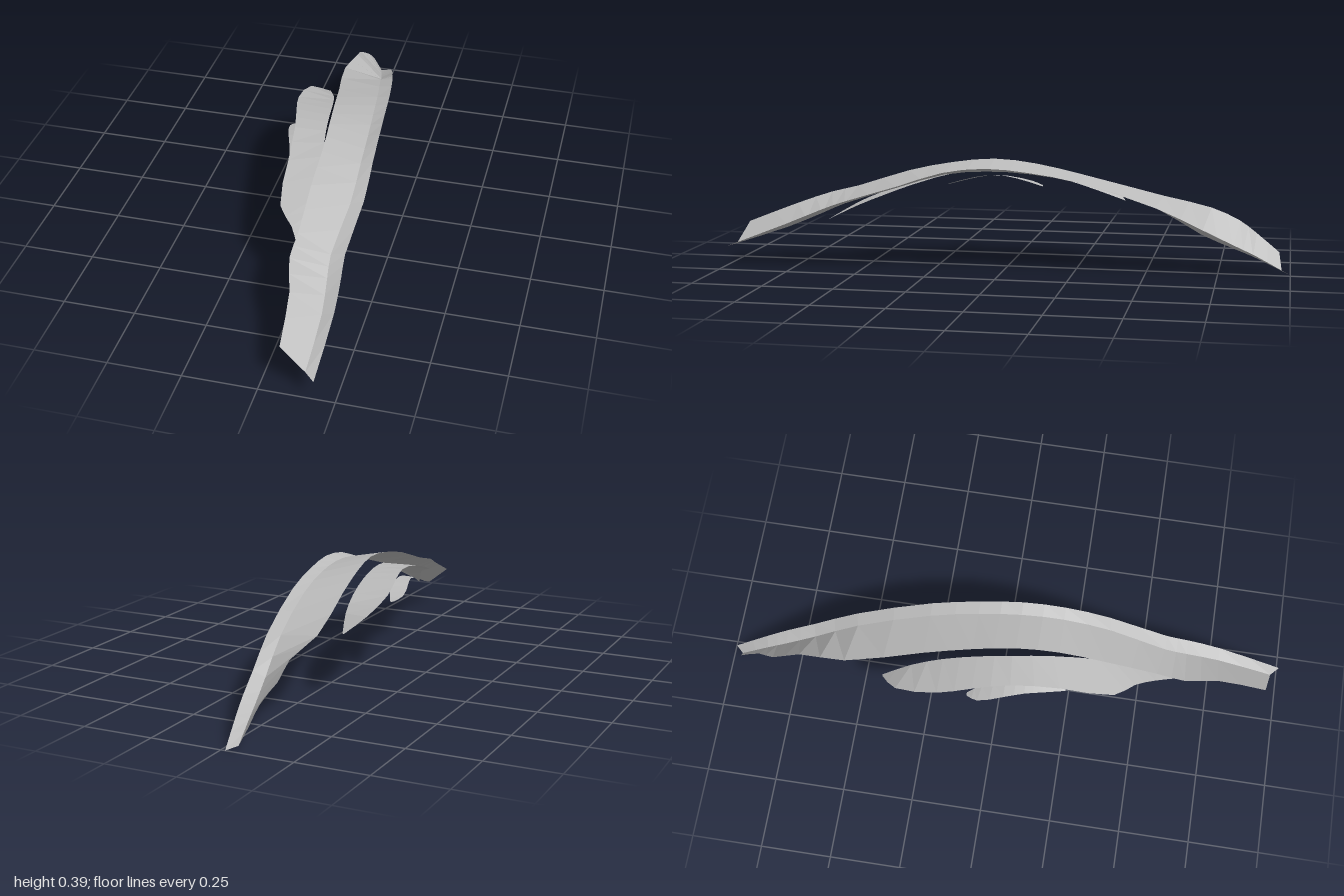
import * as THREE from 'three';

const grey = new THREE.MeshStandardMaterial({ color: 0xbbbbbb, flatShading: true, side: THREE.DoubleSide });
grey.name = 'grey';

// Thin sheet lofted through lengthwise edge lines, listed from left to right across the sheet
function sheet(name, lines, steps) {
  const curves = lines.map(l => new THREE.CatmullRomCurve3(l.map(p => new THREE.Vector3(...p))));
  const rows = (lines[0].length - 1) * steps;
  const cols = lines.length;
  const pos = [], index = [];
  for (let i = 0; i <= rows; i++) {
    for (const c of curves) pos.push(...c.getPoint(i / rows).toArray());
  }
  for (let i = 0; i < rows; i++) {
    for (let j = 0; j < cols - 1; j++) {
      const a = i * cols + j, b = a + 1, c = a + cols, d = c + 1;
      index.push(a, c, b, b, c, d);
    }
  }
  const g = new THREE.BufferGeometry();
  g.setAttribute('position', new THREE.Float32BufferAttribute(pos, 3));
  g.setIndex(index);
  g.computeVertexNormals();
  const mesh = new THREE.Mesh(g, grey);
  mesh.name = name;
  return mesh;
}

export function createModel() {
  const group = new THREE.Group();
  group.name = 'archedStrips';

  // Long strip: high inner edge, valley crease and raised outer flange
  group.add(sheet('longStrip', [
    [[-0.075, 0.07, -0.96], [-0.08, 0.135, -0.88], [-0.1, 0.175, -0.82], [-0.09, 0.22, -0.72],
      [-0.1, 0.256, -0.55], [-0.055, 0.33, -0.27], [-0.03, 0.37, -0.1], [-0.01, 0.387, 0.05],
      [0.003, 0.373, 0.2], [0.006, 0.34, 0.36], [0.012, 0.28, 0.55], [0.01, 0.255, 0.65],
      [0.043, 0.215, 0.77], [0.06, 0.145, 0.95]],
    [[-0.045, 0.01, -0.97], [-0.025, 0.06, -0.87], [-0.01, 0.09, -0.8], [0.015, 0.14, -0.69],
      [0.045, 0.235, -0.53], [0.09, 0.32, -0.27], [0.112, 0.35, -0.1], [0.128, 0.358, 0.05],
      [0.138, 0.345, 0.2], [0.143, 0.295, 0.37], [0.127, 0.23, 0.57], [0.135, 0.195, 0.65],
      [0.148, 0.145, 0.77], [0.147, 0.077, 0.97]],
    [[-0.015, 0, -1], [0.015, 0.07, -0.88], [0.035, 0.11, -0.8], [0.055, 0.16, -0.7],
      [0.09, 0.238, -0.54], [0.135, 0.328, -0.27], [0.155, 0.36, -0.1], [0.17, 0.373, 0.05],
      [0.18, 0.356, 0.2], [0.187, 0.305, 0.36], [0.175, 0.24, 0.57], [0.182, 0.21, 0.65],
      [0.189, 0.16, 0.77], [0.181, 0.07, 1]],
  ], 2));

  // Middle strip: leaf shape tapering to a point under the long strip
  group.add(sheet('middleStrip', [
    [[-0.127, 0.23, -0.41], [-0.182, 0.28, -0.35], [-0.19, 0.32, -0.2], [-0.165, 0.345, -0.08],
      [-0.135, 0.354, 0.05], [-0.112, 0.33, 0.22], [-0.088, 0.275, 0.41], [-0.03, 0.25, 0.48],
      [0.008, 0.22, 0.55], [0.06, 0.155, 0.66]],
    [[-0.122, 0.231, -0.41], [-0.085, 0.272, -0.31], [-0.06, 0.31, -0.2], [-0.042, 0.338, -0.08],
      [-0.025, 0.349, 0.04], [0, 0.337, 0.18], [0.03, 0.292, 0.34], [0.045, 0.255, 0.44],
      [0.055, 0.21, 0.55], [0.063, 0.155, 0.66]],
  ], 2));

  // Short strip nested beneath
  group.add(sheet('shortStrip', [
    [[-0.168, 0.273, -0.1], [-0.185, 0.285, -0.06], [-0.165, 0.305, 0.03], [-0.142, 0.307, 0.1],
      [-0.125, 0.297, 0.16], [-0.1, 0.278, 0.24]],
    [[-0.155, 0.27, -0.1], [-0.13, 0.29, -0.05], [-0.112, 0.311, 0.03], [-0.1, 0.313, 0.1],
      [-0.095, 0.302, 0.16], [-0.094, 0.28, 0.24]],
  ], 2));

  return group;
}
